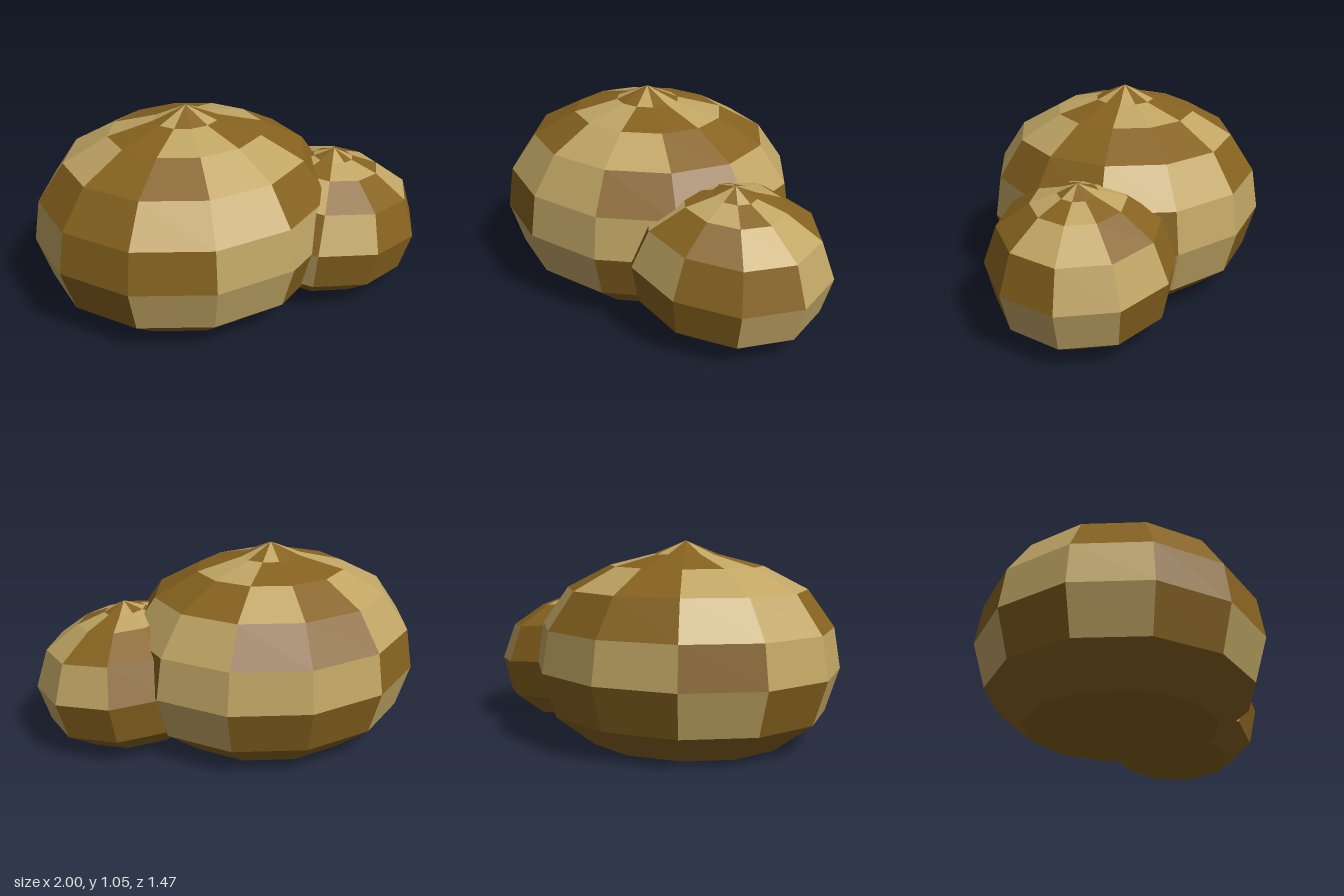
import * as THREE from 'three';

const TONES = { L: 0xc0a564, B: 0x86621f };

// Faceted dome: profile rows [radius factor, y] from base to tip; patches[row][side] picks the tone.
function dome(name, sides, rx, rz, profile, patches) {
  const group = new THREE.Group();
  group.name = name;
  const pos = { L: [], B: [] };
  // Side k faces the angle k * step, so corners sit half a step to each side
  const point = ([r, y], k) => {
    const a = ((k - 0.5) * 2 * Math.PI) / sides;
    return [r * rx * Math.cos(a), y, r * rz * Math.sin(a)];
  };
  for (let k = 0; k < sides; k++) {
    // flat underside
    pos.B.push(0, profile[0][1], 0, ...point(profile[0], k), ...point(profile[0], k + 1));
    for (let r = 0; r < profile.length - 1; r++) {
      const out = pos[patches[r][k]];
      const [lo, hi] = [profile[r], profile[r + 1]];
      const a = point(lo, k), b = point(hi, k), c = point(hi, k + 1), d = point(lo, k + 1);
      out.push(...a, ...c, ...d);
      if (hi[0] > 0) out.push(...a, ...b, ...c);
    }
  }
  for (const tone of ['L', 'B']) {
    const geo = new THREE.BufferGeometry();
    geo.setAttribute('position', new THREE.Float32BufferAttribute(pos[tone], 3));
    geo.computeVertexNormals();
    const mesh = new THREE.Mesh(geo, new THREE.MeshStandardMaterial({ color: TONES[tone], flatShading: true }));
    mesh.name = name + (tone === 'L' ? 'LightPatches' : 'DarkPatches');
    group.add(mesh);
  }
  return group;
}

export function createModel() {
  const model = new THREE.Group();
  model.name = 'domes';

  // Large upright dome, twelve sides
  const large = dome('largeDome', 12, 0.818, 0.745,
    [[0.655, 0], [0.911, 0.16], [1, 0.39], [0.956, 0.605], [0.785, 0.8], [0.5, 0.92], [0.21, 0.98], [0, 1.05]],
    [
      'BBBBBBBBBBBB',
      'LBBLLBLBLBBL',
      'BLLLBBLLBLLL',
      'LBBLLBBLLBBL',
      'BBLLBBLLLBLB',
      'LBBLLBBLBBBL',
      'LBLBBLBLBBLB',
    ]);
  large.position.set(-0.21, 0, -0.015);

  // Small dome, ten sides, leaning outward
  const small = dome('smallDome', 10, 0.53, 0.48,
    [[0.645, -0.317], [0.92, -0.205], [1, 0], [0.84, 0.196], [0.49, 0.306], [0.21, 0.35], [0, 0.395]],
    [
      'BBBBBBBBBB',
      'LLBBLBLBBB',
      'LBBLBLBLBL',
      'LLBBLBLBBB',
      'LBLLBLBLLB',
      'BLBLBBLBLB',
    ]);
  small.position.set(0.495, 0.37, 0.258);
  small.rotation.set(0.037, 0, -0.085);

  model.add(large, small);
  return model;
}
